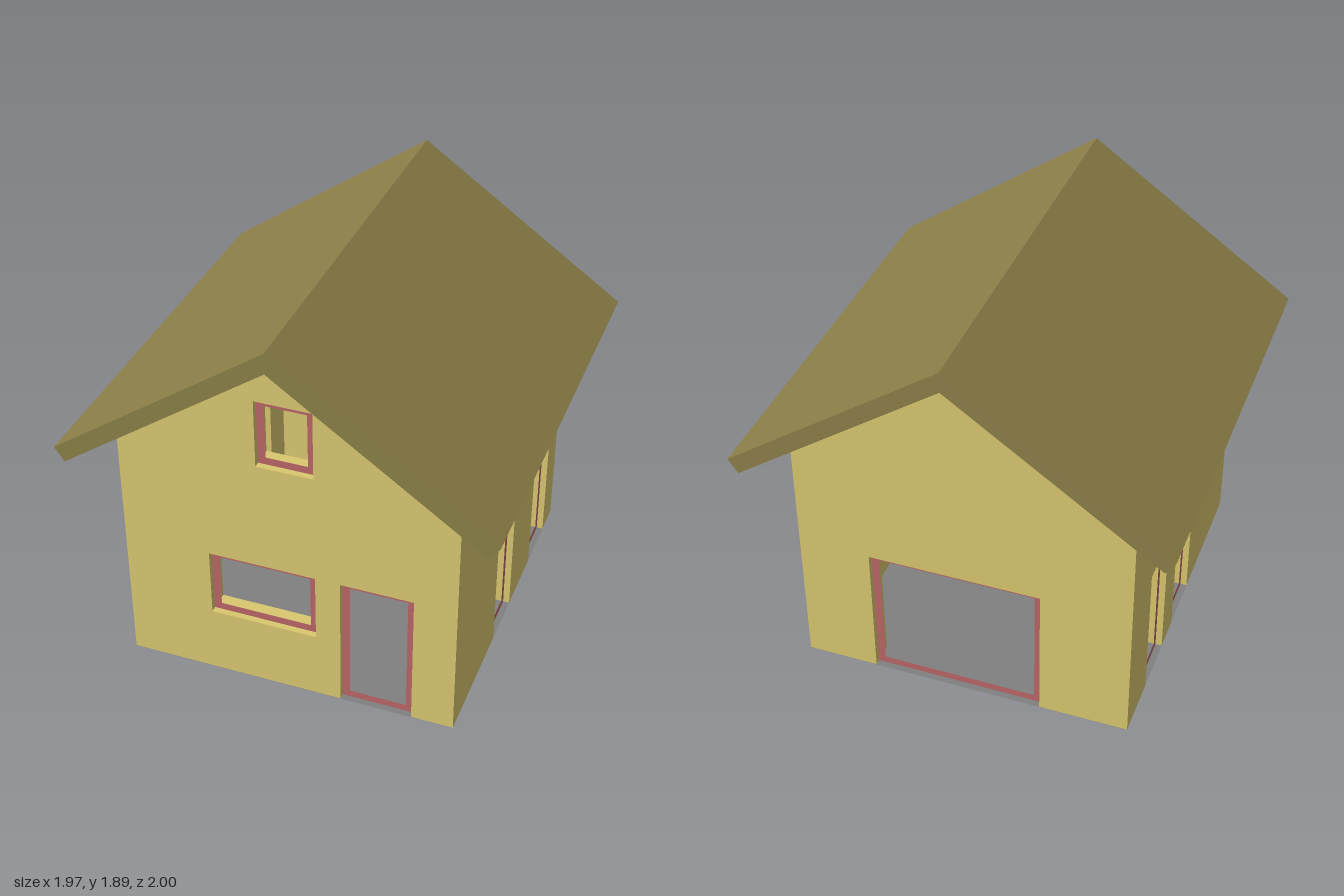
import * as THREE from 'three';

const HALF_X = 0.775, HALF_Z = 0.83, WALL = 0.12;
const RIDGE = 1.8, SLOPE = 0.7, EAVE = RIDGE - SLOPE * HALF_X;
const FRAME = 0.035, RECESS = 0.03, FRAME_DEPTH = 0.035, TOP = 0.67;

const mat = (color) => new THREE.MeshStandardMaterial({ color });

function rectPath(x0, x1, y0, y1) {
  return new THREE.Path([[x0, y0], [x0, y1], [x1, y1], [x1, y0]].map((p) => new THREE.Vector2(...p)));
}

function extrude(shape, z0, z1) {
  const g = new THREE.ExtrudeGeometry(shape, { depth: z1 - z0, bevelEnabled: false });
  return g.translate(0, 0, z0);
}

function addMesh(parent, geometry, material, name) {
  const mesh = new THREE.Mesh(geometry, material);
  mesh.name = name;
  parent.add(mesh);
  return mesh;
}

export function createModel() {
  const house = new THREE.Group();
  house.name = 'house';
  const wallMat = mat(0xdac870), roofMat = mat(0x8c8048), frameMat = mat(0xbb6668), floorMat = mat(0x808080);
  floorMat.side = THREE.DoubleSide;

  // Walls: openings are [left, right, bottom, top] as seen from outside, sorted left to right
  const walls = [
    { name: 'frontWall', gable: true, turn: 0,
      openings: [[-0.37, 0.13, 0.335, TOP], [0.245, 0.58, 0, TOP], [-0.13, 0.13, 1.205, 1.535]] },
    { name: 'backWall', gable: true, turn: Math.PI, openings: [[-0.44, 0.36, 0, TOP]] },
    { name: 'rightWall', gable: false, turn: Math.PI / 2,
      openings: [[-0.205, 0.065, 0, TOP], [0.405, 0.675, 0, TOP]] },
    { name: 'leftWall', gable: false, turn: -Math.PI / 2,
      openings: [[-0.54, -0.27, 0, TOP], [-0.1, 0.17, 0, TOP]] },
  ];

  for (const { name, gable, turn, openings } of walls) {
    const side = new THREE.Group();
    side.name = name + 'Group';
    side.rotation.y = turn;
    house.add(side);
    const half = gable ? HALF_X : HALF_Z - WALL;
    const outer = gable ? HALF_Z : HALF_X;
    const base = 0.002;

    // Wall outline, notched where an opening reaches the ground
    const shape = new THREE.Shape();
    shape.moveTo(-half, base);
    for (const [x0, x1, y0, y1] of openings) {
      if (y0 > 0) {
        shape.holes.push(rectPath(x0, x1, y0, y1));
        continue;
      }
      shape.lineTo(x0, base);
      shape.lineTo(x0, y1);
      shape.lineTo(x1, y1);
      shape.lineTo(x1, base);
    }
    shape.lineTo(half, base);
    shape.lineTo(half, EAVE);
    if (gable) shape.lineTo(0, RIDGE);
    shape.lineTo(-half, EAVE);
    shape.closePath();
    const geometry = extrude(shape, outer - WALL, outer);

    // Slant the top of the side walls to meet the roof
    if (!gable) {
      const p = geometry.attributes.position;
      for (let i = 0; i < p.count; i++) {
        if (p.getY(i) > EAVE - 0.01) p.setY(i, RIDGE - SLOPE * p.getZ(i));
      }
      geometry.computeVertexNormals();
    }
    addMesh(side, geometry, wallMat, name);

    // Recessed frames
    for (const [x0, x1, y0, y1] of openings) {
      const ring = new THREE.Shape(rectPath(x0, x1, y0 || 0.001, y1).getPoints());
      ring.holes.push(rectPath(x0 + FRAME, x1 - FRAME, y0 + FRAME, y1 - FRAME));
      const z = outer - RECESS;
      addMesh(side, extrude(ring, z - FRAME_DEPTH, z), frameMat, y0 > 0 ? 'windowFrame' : 'doorFrame');
    }
  }

  // Gabled roof with overhang
  const roof = new THREE.Shape([
    [0, 1.895], [-0.985, 1.207], [-0.94, RIDGE - SLOPE * 0.94],
    [0, RIDGE], [0.94, RIDGE - SLOPE * 0.94], [0.985, 1.207],
  ].map((p) => new THREE.Vector2(...p)));
  addMesh(house, extrude(roof, -1, 1), roofMat, 'roof');

  // Floor
  const floor = new THREE.PlaneGeometry(HALF_X * 2, HALF_Z * 2).rotateX(-Math.PI / 2);
  addMesh(house, floor, floorMat, 'floor');

  return house;
}
